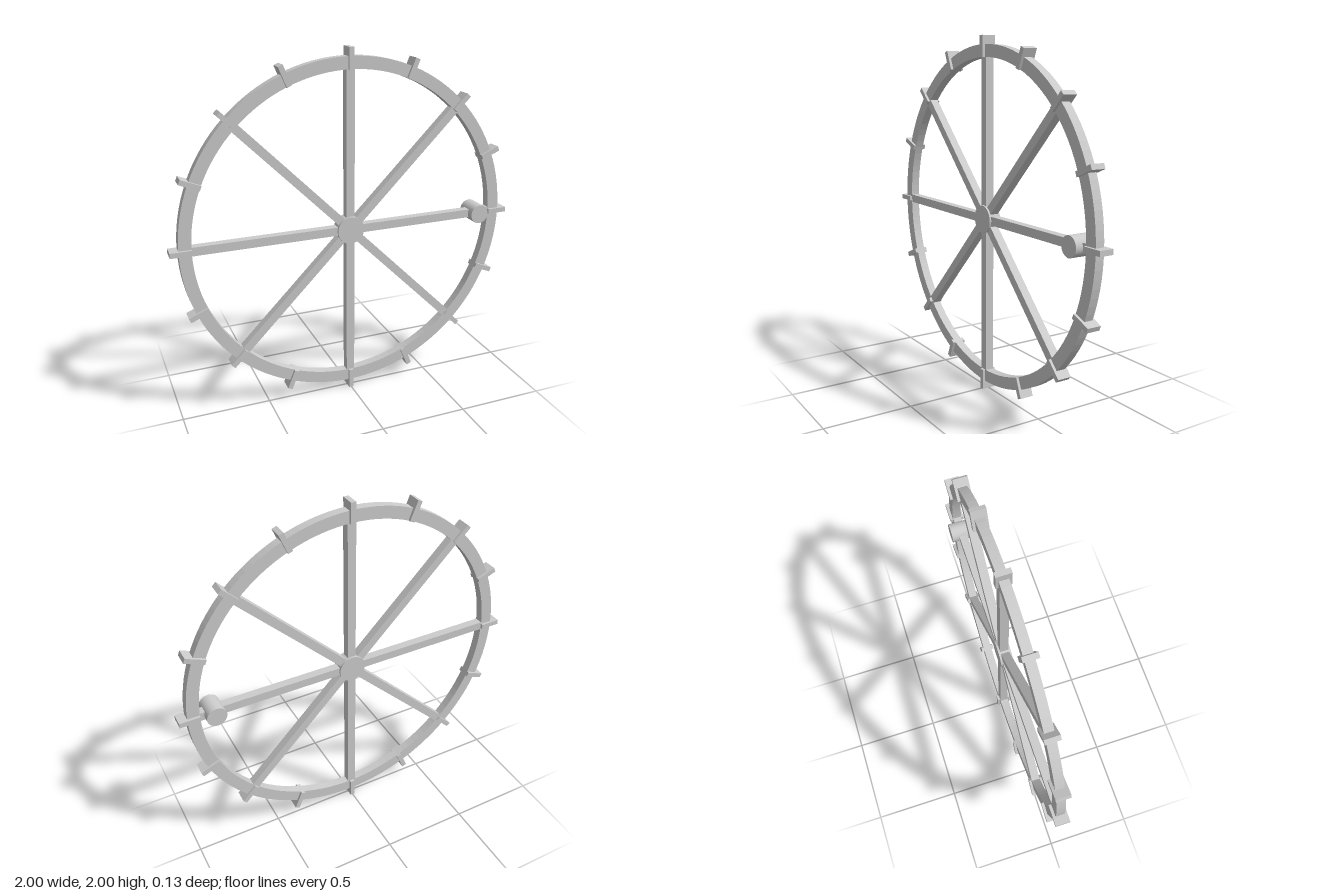
import * as THREE from 'three';

export function createModel() {
  const model = new THREE.Group();
  const wheel = new THREE.Group();
  wheel.name = 'wheel';
  wheel.position.y = 1;
  model.add(wheel);

  const grey = new THREE.MeshStandardMaterial({ color: 0xcccccc });
  grey.name = 'light grey';

  const add = (name, geometry) => {
    const mesh = new THREE.Mesh(geometry, grey);
    mesh.name = name;
    wheel.add(mesh);
    return mesh;
  };

  // Rim: square-edged ring
  const outer = new THREE.Shape().absarc(0, 0, 0.953, 0, Math.PI * 2, false);
  outer.holes.push(new THREE.Path().absarc(0, 0, 0.885, 0, Math.PI * 2, true));
  const rim = new THREE.ExtrudeGeometry(outer, { depth: 0.05, bevelEnabled: false, curveSegments: 64 });
  rim.translate(0, 0, -0.025);
  add('rim', rim);

  // Eight spokes from the hub to the rim
  const spoke = new THREE.BoxGeometry(0.89, 0.048, 0.048).translate(0.445, 0, 0);
  for (let i = 0; i < 8; i++) add('spoke', spoke).rotation.z = (i * Math.PI) / 4;

  // Sixteen paddles clamped across the rim
  const paddle = new THREE.BoxGeometry(0.115, 0.028, 0.08).translate(0.9425, 0, 0);
  for (let i = 0; i < 16; i++) add('paddle', paddle).rotation.z = (i * Math.PI) / 8;

  // Hub and handle, both with their axes along z
  const disc = (r, depth) => new THREE.CylinderGeometry(r, r, depth, 32).rotateX(Math.PI / 2);
  add('hub', disc(0.078, 0.07));
  add('handle', disc(0.055, 0.13)).position.x = 0.807;

  return model;
}
